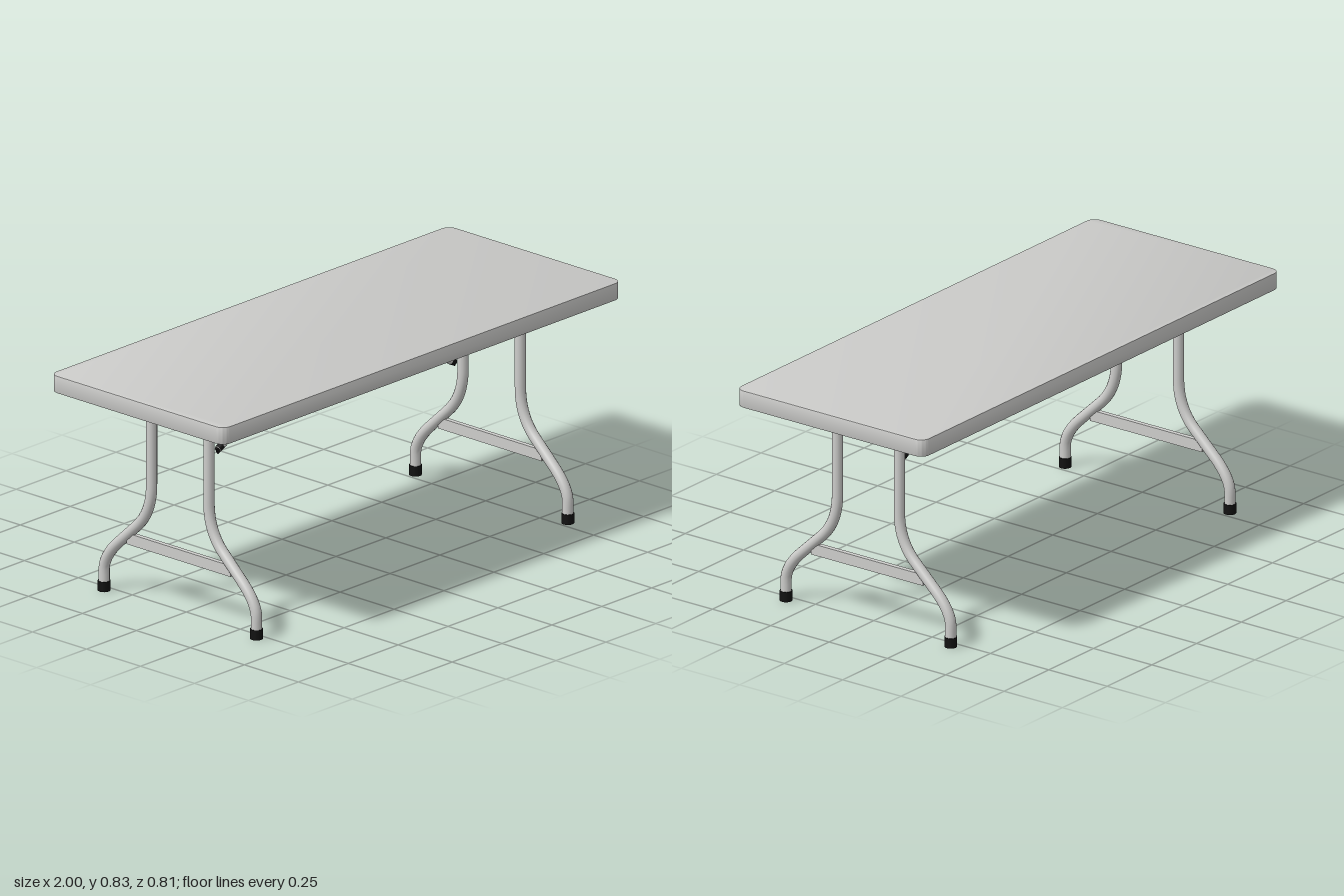
import * as THREE from 'three';
import { toCreasedNormals } from 'three/addons/utils/BufferGeometryUtils.js';

const plastic = new THREE.MeshStandardMaterial({ name: 'light grey plastic', color: 0xc9c9c7 });
const steel = new THREE.MeshStandardMaterial({ name: 'pale grey steel', color: 0xcdcdcb, side: THREE.DoubleSide });
const rubber = new THREE.MeshStandardMaterial({ name: 'black rubber', color: 0x111111 });

const TOP = 0.83, UNDER = 0.767, LEG_X = 0.78, LEG_R = 0.0195;

function add(parent, name, geometry, material, x = 0, y = 0, z = 0) {
  const mesh = new THREE.Mesh(geometry, material);
  mesh.name = name;
  mesh.position.set(x, y, z);
  parent.add(mesh);
  return mesh;
}

// Rounded slab with a small softened edge
function tabletopGeometry() {
  const b = 0.004, w = 1 - b, d = 0.403 - b, r = 0.032;
  const s = new THREE.Shape();
  s.absarc(w - r, d - r, r, 0, Math.PI / 2);
  s.absarc(-w + r, d - r, r, Math.PI / 2, Math.PI);
  s.absarc(-w + r, -d + r, r, Math.PI, Math.PI * 1.5);
  s.absarc(w - r, -d + r, r, Math.PI * 1.5, Math.PI * 2);
  const g = new THREE.ExtrudeGeometry(s, {
    depth: TOP - UNDER - 2 * b, bevelThickness: b, bevelSize: b, bevelSegments: 2, curveSegments: 6,
  });
  g.rotateX(-Math.PI / 2);
  g.translate(0, UNDER + b, 0);
  return toCreasedNormals(g, 0.6);
}

// S-bent leg: upright, sloping outwards, then upright again
function legGeometry(side) {
  const p = (z, y) => new THREE.Vector3(0, y, z * side);
  const path = new THREE.CurvePath();
  const a = p(0.133, 0.435), b = p(0.196, 0.275), c = p(0.29, 0.186), d = p(0.353, 0.075);
  path.add(new THREE.LineCurve3(p(0.133, UNDER + 0.01), a));
  path.add(new THREE.QuadraticBezierCurve3(a, p(0.133, 0.338), b));
  path.add(new THREE.LineCurve3(b, c));
  path.add(new THREE.QuadraticBezierCurve3(c, p(0.353, 0.125), d));
  path.add(new THREE.LineCurve3(d, p(0.353, 0.01)));
  return new THREE.TubeGeometry(path, 48, LEG_R, 14, false);
}

// Straight open tube between two points
function tubeBetween(from, to, radius) {
  return new THREE.TubeGeometry(new THREE.LineCurve3(from, to), 1, radius, 12, false);
}

export function createModel() {
  const table = new THREE.Group();
  table.name = 'foldingTable';
  add(table, 'tabletop', tabletopGeometry(), plastic);

  for (const end of [1, -1]) {
    const frame = new THREE.Group();
    frame.name = end > 0 ? 'leftLegFrame' : 'rightLegFrame';
    table.add(frame);

    // Legs with rubber feet
    for (const side of [1, -1]) {
      const place = side > 0 ? 'front' : 'back';
      add(frame, place + 'Leg', legGeometry(side), steel, end * LEG_X);
      add(frame, place + 'Foot', new THREE.CylinderGeometry(0.022, 0.022, 0.036, 16), rubber,
        end * LEG_X, 0.018, side * 0.353);
    }
    // Flat bar joining the two legs
    add(frame, 'crossBar', new THREE.BoxGeometry(0.018, 0.04, 0.48), steel, end * LEG_X, 0.217, 0);

    // Slanted brace under the top, with a locking pin at its lower end
    const high = new THREE.Vector3(end * 0.12, 0.775, 0);
    const low = new THREE.Vector3(end * 0.593, 0.546, 0);
    add(frame, 'brace', tubeBetween(high, low, 0.0125), steel);
    const along = low.clone().sub(high).normalize();
    const pin = add(frame, 'bracePin', new THREE.BoxGeometry(0.026, 0.022, 0.007), rubber,
      low.x - along.x * 0.008, low.y - along.y * 0.008 - 0.003, 0);
    pin.rotation.z = Math.atan2(along.y, along.x);
    // Dark sleeve just above the open end
    add(frame, 'braceSleeve', tubeBetween(low.clone().addScaledVector(along, -0.022),
      low.clone().addScaledVector(along, -0.002), 0.013), rubber);
  }
  return table;
}
